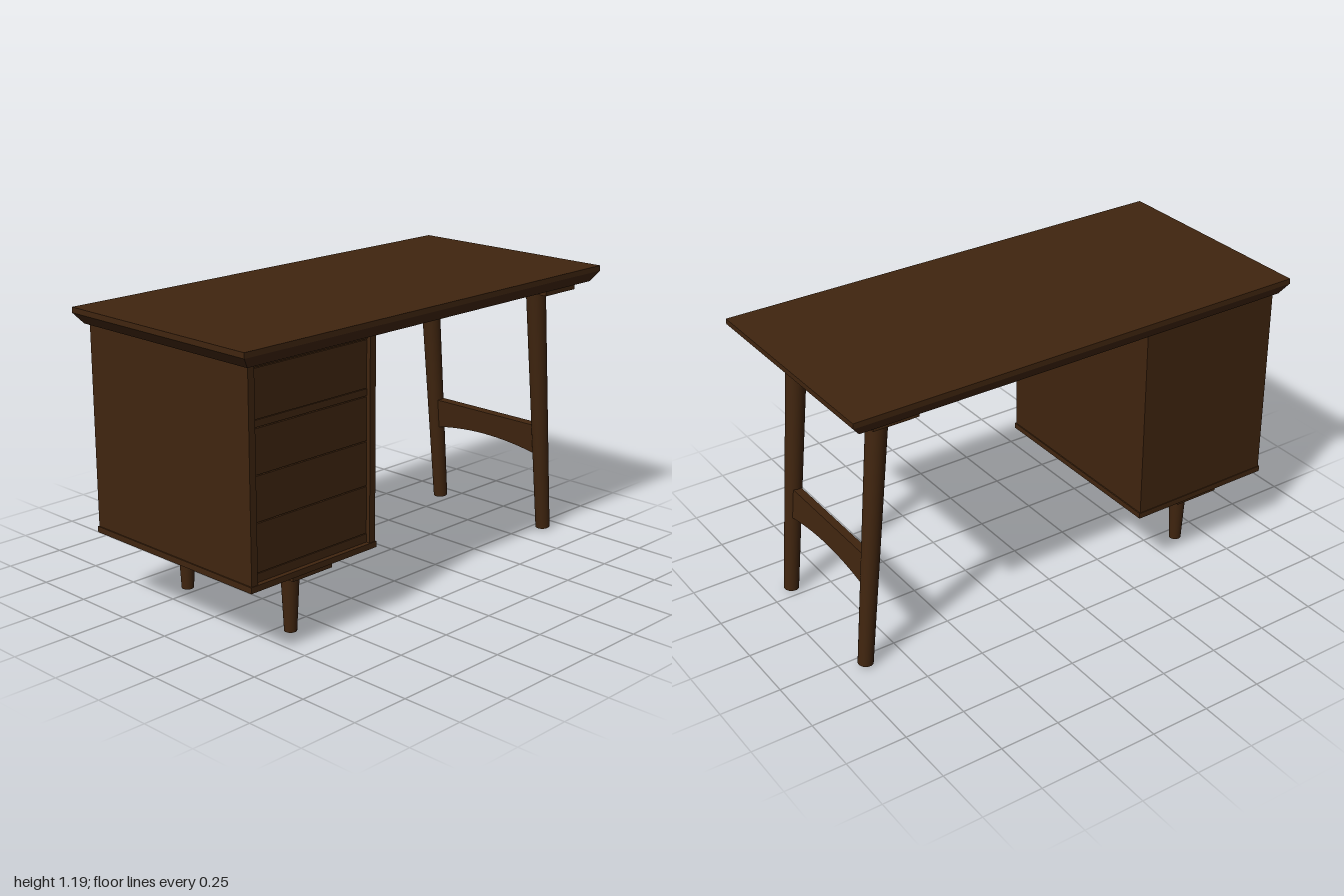
import * as THREE from 'three';

export function createModel() {
  const desk = new THREE.Group();
  desk.name = 'desk';
  const wood = new THREE.MeshStandardMaterial({ color: 0x40250f });
  wood.name = 'dark walnut';

  const add = (name, geometry, parent = desk) => {
    const mesh = new THREE.Mesh(geometry, wood);
    mesh.name = name;
    parent.add(mesh);
    return mesh;
  };
  // Box given by its limits on each axis
  const box = (name, x0, x1, y0, y1, z0, z1, parent) => {
    const mesh = add(name, new THREE.BoxGeometry(x1 - x0, y1 - y0, z1 - z0), parent);
    mesh.position.set((x0 + x1) / 2, (y0 + y1) / 2, (z0 + z1) / 2);
    return mesh;
  };
  // Tapered round bar between two points
  const bar = (name, bottom, top, rBottom, rTop) => {
    const dir = top.clone().sub(bottom);
    const mesh = add(name, new THREE.CylinderGeometry(rTop, rBottom, dir.length(), 32));
    mesh.position.copy(bottom).add(top).multiplyScalar(0.5);
    mesh.quaternion.setFromUnitVectors(new THREE.Vector3(0, 1, 0), dir.normalize());
    return mesh;
  };

  // Desktop: slim slab over a bevelled underside
  box('desktop', -1, 1, 1.168, 1.19, -0.48, 0.48);
  const bevel = box('desktopBevel', -1, 1, 1.125, 1.168, -0.48, 0.48);
  const p = bevel.geometry.attributes.position;
  for (let i = 0; i < p.count; i++) {
    if (p.getY(i) < 0) {
      p.setX(i, Math.sign(p.getX(i)) * 0.965);
      p.setZ(i, Math.sign(p.getZ(i)) * 0.455);
    }
  }
  bevel.geometry.computeVertexNormals();

  // Drawer cabinet carcass
  const cabinet = new THREE.Group();
  cabinet.name = 'cabinet';
  desk.add(cabinet);
  const L = -0.95, R = -0.315, T = 0.03, D = 0.44;
  box('cabinetLeftBoard', L, L + T, 0.312, 1.125, -D, D, cabinet);
  box('cabinetRightBoard', R - T, R, 0.312, 1.125, -D, D, cabinet);
  box('cabinetBack', L + T, R - T, 0.312, 1.125, -D, -D + 0.02, cabinet);
  box('cabinetTop', L + T, R - T, 1.11, 1.125, -D + 0.02, D - 0.015, cabinet);
  box('cabinetBase', L - 0.005, R + 0.005, 0.288, 0.312, -0.443, 0.443, cabinet);

  // Recessed drawer fronts, with rails below the top drawer and at the bottom
  const a = L + T + 0.003, b = R - T - 0.003, face = D - 0.015;
  [[0.922, 1.107], [0.718, 0.889], [0.541, 0.714], [0.35, 0.537]].forEach(([y0, y1], i) =>
    box('drawer' + (i + 1), a, b, y0, y1, -D + 0.03, face, cabinet));
  box('upperRail', L + T, R - T, 0.892, 0.919, face - 0.03, face - 0.002, cabinet);
  box('bottomRail', L + T, R - T, 0.312, 0.346, face - 0.03, face - 0.002, cabinet);

  // Mounting plates for the feet and the long legs
  box('footPlate', -0.73, -0.53, 0.262, 0.288, -0.422, 0.422);
  box('legPlate', 0.705, 0.895, 1.098, 1.125, -0.43, 0.43);

  // Short feet and splayed legs, front and back
  const legBottom = new THREE.Vector3(0.906, 0.008, 0);
  const legTop = new THREE.Vector3(0.801, 1.105, 0);
  for (const [end, z] of [['front', 0.3], ['back', -0.3]]) {
    bar(end + 'Foot', new THREE.Vector3(-0.63, 0, z), new THREE.Vector3(-0.63, 0.265, z), 0.025, 0.038);
    const shift = new THREE.Vector3(0, 0, z);
    bar(end + 'Leg', legBottom.clone().add(shift), legTop.clone().add(shift), 0.031, 0.042);
  }

  // Arched stretcher between the legs, leaning with them
  const tilt = Math.atan2(legBottom.x - legTop.x, legTop.y - legBottom.y);
  const shape = new THREE.Shape();
  shape.moveTo(-0.29, 0.065);
  shape.lineTo(-0.29, -0.069);
  shape.quadraticCurveTo(0, -0.007, 0.29, -0.069);
  shape.lineTo(0.29, 0.065);
  shape.closePath();
  const arch = new THREE.ExtrudeGeometry(shape, { depth: 0.036, bevelEnabled: false, curveSegments: 16 });
  arch.translate(0, 0, -0.018).rotateY(Math.PI / 2).rotateZ(tilt);
  add('stretcher', arch).position.set(0.866, 0.42, 0);

  return desk;
}
